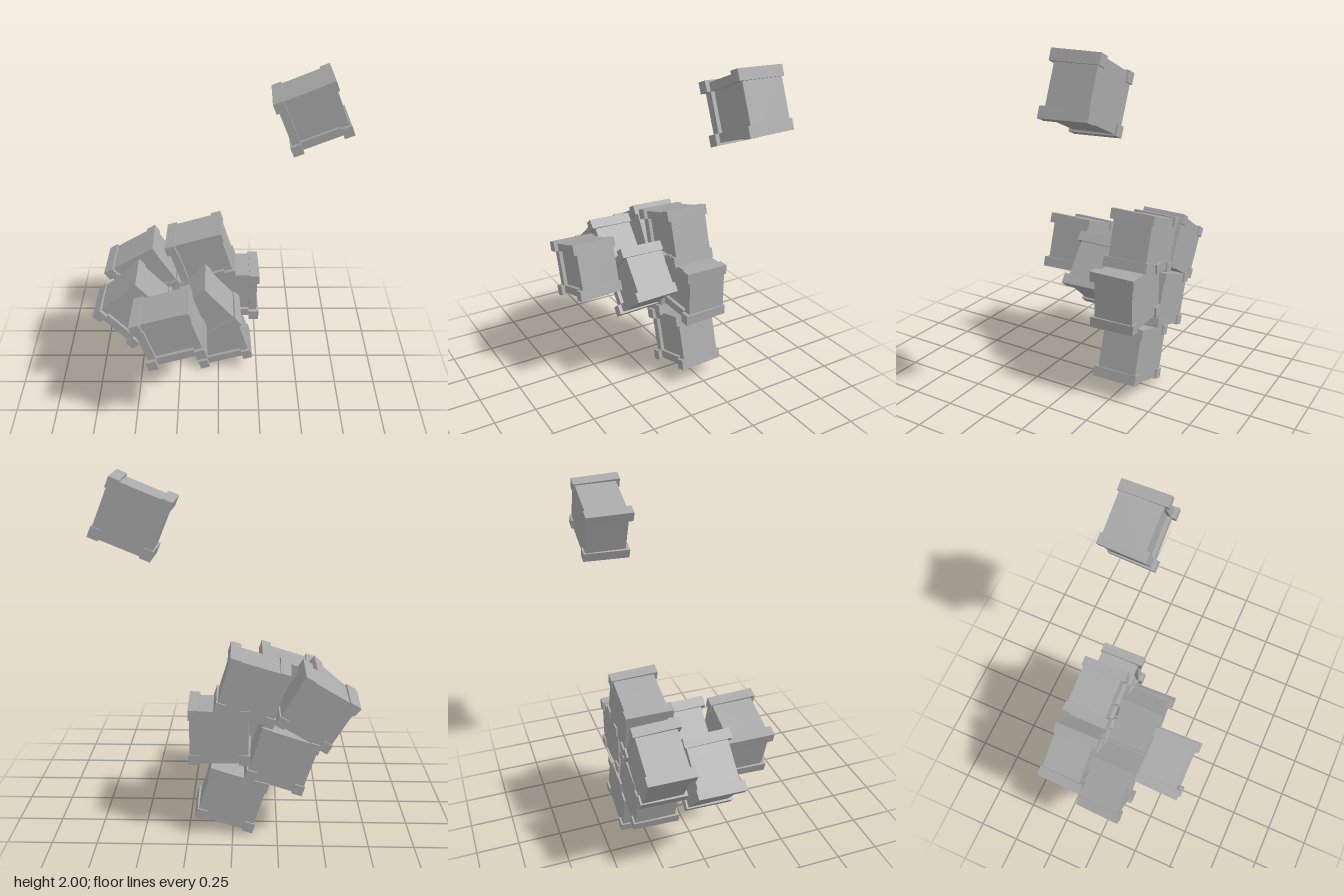
import * as THREE from 'three';

const grey = new THREE.MeshStandardMaterial({ color: 0xa8a8a8 });
grey.name = 'grey';

const W = 0.349, H = 0.334;      // outer size over the corner posts
const DEPTH = 0.27, POST = 0.06; // post length and thickness
const INSET = 0.013;             // body sits in from the posts
const FRONT = DEPTH / 2 - 0.023, BACK = -DEPTH / 2 + 0.01;
const RECESS = 0.022;            // depth of the front panel

function mesh(name, geometry) {
  const m = new THREE.Mesh(geometry, grey);
  m.name = name;
  return m;
}

// Corner post running front to back, drawn in slightly towards the back
function postGeometry(sx, sy) {
  const g = new THREE.BoxGeometry(POST, POST, DEPTH);
  g.translate(sx * (W - POST) / 2, sy * (H - POST) / 2, 0);
  const p = g.attributes.position;
  for (let i = 0; i < p.count; i++) {
    if (p.getZ(i) < 0) p.setXY(i, p.getX(i) * 0.965, p.getY(i) * 0.965);
  }
  g.computeVertexNormals();
  return g;
}

function rectangle(PathType, w, h) {
  return new PathType([[-1, -1], [1, -1], [1, 1], [-1, 1]]
    .map(([x, y]) => new THREE.Vector2(x * w / 2, y * h / 2)));
}

// Body block, its front rim and the four posts
const bodyW = W - 2 * INSET, bodyH = H - 2 * INSET;
const bodyDepth = FRONT - RECESS - BACK;
const bodyGeometry = new THREE.BoxGeometry(bodyW, bodyH, bodyDepth)
  .translate(0, 0, BACK + bodyDepth / 2);
const rimShape = rectangle(THREE.Shape, bodyW, bodyH);
rimShape.holes.push(rectangle(THREE.Path, W - 2 * POST, H - 2 * POST));
const rimGeometry = new THREE.ExtrudeGeometry(rimShape, { depth: RECESS, bevelEnabled: false })
  .translate(0, 0, FRONT - RECESS);
const postGeometries = [[-1, -1], [1, -1], [1, 1], [-1, 1]].map(([x, y]) => postGeometry(x, y));

function crate(name, x, y, z, degrees) {
  const g = new THREE.Group();
  g.name = name;
  g.add(mesh('crateBody', bodyGeometry), mesh('frontRim', rimGeometry));
  postGeometries.forEach((p) => g.add(mesh('cornerPost', p)));
  g.position.set(x, y, z);
  g.rotation.z = THREE.MathUtils.degToRad(degrees);
  return g;
}

export function createModel() {
  const model = new THREE.Group();
  model.name = 'tumblingCrates';
  // Each crate: name, x, y, z, tilt
  const crates = [
    ['bottomCrate', 0.005, 0.213, -0.256, 17],
    ['rightCrate', 0.075, 0.595, -0.256, 0],
    ['topCrate', -0.103, 0.855, -0.256, 17],
    ['upperLeftCrate', -0.452, 0.732, -0.256, 31],
    ['lowerLeftCrate', -0.272, 0.454, -0.256, 18],
    ['middleLeftCrate', -0.494, 0.652, 0.004, 41],
    ['middleRightCrate', -0.103, 0.616, 0.004, 40],
    ['frontCrate', -0.278, 0.69, 0.268, 17.5],
    ['flyingCrate', 0.51, 0.782, -0.268, 22.5],
  ];
  crates[8][2] = 1.782;
  crates.forEach((c) => model.add(crate(...c)));
  return model;
}
